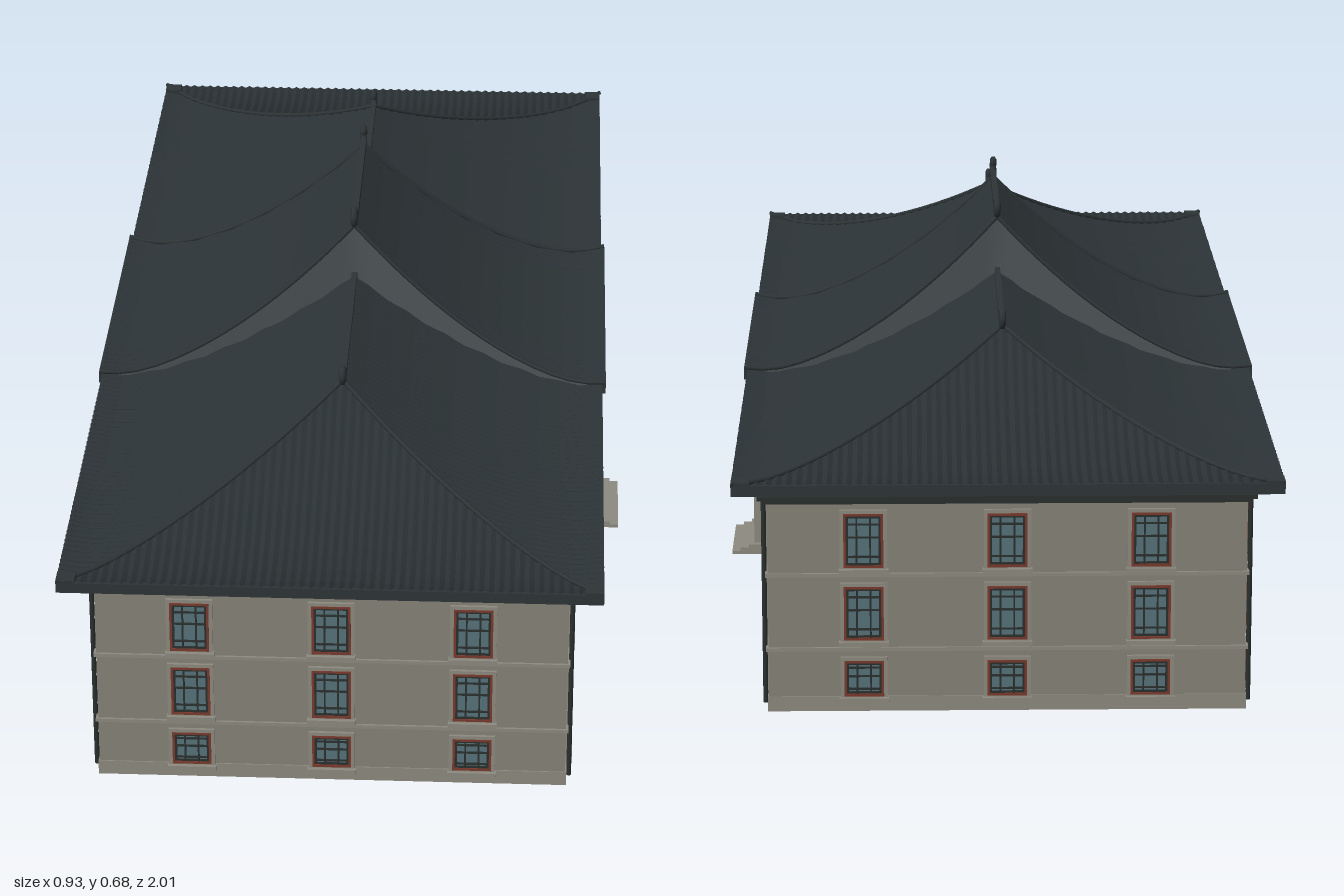
import * as THREE from 'three';
import { mergeGeometries } from 'three/addons/utils/BufferGeometryUtils.js';

const mat = (color, opts = {}) => new THREE.MeshStandardMaterial({ color, ...opts });
const STONE = mat(0x858277), TRIM = mat(0x8d8a80), DARK = mat(0x2a302f);
const RED = mat(0x7a3a2c), GLASS = mat(0x56737a), DOOR = mat(0x6b2c20);
const TILE = mat(0x2a3134, { flatShading: true, side: THREE.DoubleSide });
const GABLE = mat(0x4c5355, { side: THREE.DoubleSide });
const RIDGE = mat(0x2e3537);

// half sizes of walls, roof plan and ridges
const WX = 0.385, WZ = 0.945, EX = 0.44, EZ = 1, RZ = 0.57;
const CX = 0.445, CZ = 0.275, CR = 0.17;

// concave roof profiles, t = 0 at the ridge and 1 at the eave
const slope = (top, t) => 0.38 + (top - 0.38) * Math.pow(Math.max(0, 1 - t), 1.8) + 0.014 * Math.pow(t, 10);
const mainY = t => slope(0.545, t);
const centreY = t => slope(0.64, t) + 0.003;

function box(w, h, d, x, y, z) {
  return new THREE.BoxGeometry(w, h, d).translate(x, y, z);
}

function add(parent, name, geometry, material) {
  const m = new THREE.Mesh(geometry, material);
  m.name = name;
  parent.add(m);
  return m;
}

function gridGeometry(cols, rows, point) {
  const pos = [], idx = [];
  for (let i = 0; i <= cols; i++)
    for (let j = 0; j <= rows; j++) pos.push(...point(i, j));
  for (let i = 0; i < cols; i++)
    for (let j = 0; j < rows; j++) {
      const a = i * (rows + 1) + j, b = a + rows + 1;
      idx.push(a, b, a + 1, b, b + 1, a + 1);
    }
  const g = new THREE.BufferGeometry();
  g.setAttribute('position', new THREE.Float32BufferAttribute(pos, 3));
  g.setIndex(idx);
  g.computeVertexNormals();
  return g;
}

// tiled slope facing +x: ribs run downhill, clipped along the two hips
function tiledSlope(ridgeHalf, eaveHalf, start, run, height) {
  const cols = 2 * Math.round(eaveHalf / 0.008), rows = 12;
  return gridGeometry(cols, rows, (i, j) => {
    const s = (i / cols * 2 - 1) * eaveHalf;
    const t0 = Math.min(1, Math.max(0, (Math.abs(s) - ridgeHalf) / (eaveHalf - ridgeHalf)));
    const t = Math.min(1, t0 + (1 - t0) * j / rows);
    return [start + run * t, height(t) + (i % 2 ? 0.004 : 0), s];
  });
}

function tube(points, r) {
  const curve = new THREE.CatmullRomCurve3(points.map(p => new THREE.Vector3(...p)));
  return new THREE.TubeGeometry(curve, 16, r, 6);
}

const hipLine = (sx, sz, run, z0, z1, height) => Array.from({ length: 11 }, (_, k) => {
  const t = k / 10;
  return [sx * run * t, height(t) + 0.004, sz * (z0 + (z1 - z0) * t)];
});

// ridge bar with an upturned curl at both ends
function ridge(parent, name, half, y, size) {
  const parts = [box(0.01, 0.016, half * 2, 0, y, 0)];
  const curl = [[0, 0], [0.55, 0.1], [0.8, 0.6], [0.55, 1.05], [0.15, 1], [0.2, 0.7]];
  for (const s of [-1, 1])
    parts.push(tube(curl.map(([a, b]) => [0, y + b * size, s * (half - 0.005 + a * size)]), 0.006));
  add(parent, name, mergeGeometries(parts), RIDGE);
}

function buildRoof() {
  const roof = new THREE.Group();
  roof.name = 'roof';
  const mainSlope = tiledSlope(RZ, EZ, 0, EX, mainY);
  const endSlope = tiledSlope(0, EX, RZ, EZ - RZ, mainY);
  const centreSlope = tiledSlope(CR, CZ, 0, CX, centreY);
  for (const s of [0, 1]) {
    add(roof, 'mainSlope', mainSlope, TILE).rotation.y = s * Math.PI;
    add(roof, 'endSlope', endSlope, TILE).rotation.y = Math.PI / 2 + s * Math.PI;
    add(roof, 'centreSlope', centreSlope, TILE).rotation.y = s * Math.PI;
  }
  // side walls between the raised centre and the lower roof
  for (const sz of [-1, 1]) {
    add(roof, 'centreGable', gridGeometry(32, 1, (i, j) => {
      const u = i / 16 - 1, t = Math.abs(u);
      const low = Math.min(mainY(Math.min(1, t * CX / EX)), centreY(t)) - 0.003;
      return [CX * u, j ? centreY(t) : low, sz * (CR + (CZ - CR) * t)];
    }), GABLE);
  }
  const hips = [];
  for (const sx of [-1, 1]) for (const sz of [-1, 1]) {
    hips.push(tube(hipLine(sx, sz, EX, RZ, EZ, mainY), 0.004));
    hips.push(tube(hipLine(sx, sz, CX, CR, CZ, centreY), 0.004));
  }
  add(roof, 'hipRidges', mergeGeometries(hips), RIDGE);
  ridge(roof, 'mainRidge', RZ, 0.547, 0.024);
  ridge(roof, 'centreRidge', CR, 0.65, 0.026);

  // eave boards and soffit
  const eaves = [box(0.86, 0.004, 1.98, 0, 0.378, 0)];
  for (const s of [-1, 1]) {
    eaves.push(box(0.006, 0.018, 2, s * (EX - 0.003), 0.386, 0));
    eaves.push(box(2 * EX, 0.018, 0.006, 0, 0.386, s * (EZ - 0.003)));
    eaves.push(box(0.006, 0.02, 2 * CZ, s * (CX - 0.002), 0.389, 0));
    for (const z of [-1, 1]) eaves.push(box(0.03, 0.022, 0.03, s * (EX - 0.015), 0.388, z * (EZ - 0.015)));
  }
  add(roof, 'eaves', mergeGeometries(eaves), RIDGE);
  return roof;
}

// window geometry facing +z, centred on its opening
function windowParts(h) {
  const w = 0.064, b = 0.004;
  const border = (W, H, t, d) => mergeGeometries([-1, 1].flatMap(s => [
    box(t, H, d, s * (W - t) / 2, 0, d / 2),
    box(W - 2 * t, t, d, 0, s * (H - t) / 2, d / 2)]));
  const bars = [-1, 1].flatMap(s => [
    box(0.003, h - 2 * b, 0.003, s * 0.011, 0, 0.003),
    box(w - 2 * b, 0.003, 0.003, 0, s * h * 0.3, 0.003)]);
  bars.push(box(w - 2 * b, 0.003, 0.003, 0, h * 0.06, 0.003), border(w - 2 * b, h - 2 * b, 0.0035, 0.004));
  return [
    ['surrounds', mergeGeometries([border(w + 0.012, h + 0.012, 0.006, 0.005),
      box(w + 0.016, 0.008, 0.011, 0, -h / 2 - 0.006, 0.0055)]), TRIM],
    ['frames', border(w, h, b, 0.006), RED],
    ['glazingBars', mergeGeometries(bars), DARK],
    ['glass', new THREE.PlaneGeometry(w - b, h - b).translate(0, 0, 0.002), GLASS]];
}

// one row of windows around the building, merged by material
function windowRow(name, y, h, hasDoor) {
  const row = new THREE.Group();
  row.name = name;
  const spots = [];
  for (const s of [-1, 1]) {
    for (let i = 0; i < 14; i++) {
      if (hasDoor && s === 1 && (i === 6 || i === 7)) continue;
      spots.push([s * WX, (i - 6.5) * 0.131, s * Math.PI / 2]);
    }
    for (let i = -1; i <= 1; i++) spots.push([i * 0.231, s * WZ, s > 0 ? 0 : Math.PI]);
  }
  for (const [part, geometry, material] of windowParts(h))
    add(row, part, mergeGeometries(spots.map(([x, z, angle]) =>
      geometry.clone().rotateY(angle).translate(x, y, z))), material);
  return row;
}

function buildEntrance() {
  const e = new THREE.Group();
  e.name = 'entrance';
  const x = WX, pair = make => mergeGeometries([-1, 1].flatMap(make));
  add(e, 'doorLeaves', pair(s => box(0.008, 0.112, 0.053, x + 0.018, 0.072, s * 0.028)), DOOR);
  add(e, 'doorPanels', pair(s => [0.045, 0.098].map(y => box(0.003, 0.04, 0.034, x + 0.023, y, s * 0.028))), RED);
  add(e, 'doorFrame', mergeGeometries([
    box(0.006, 0.125, 0.13, x + 0.013, 0.066, 0),
    box(0.004, 0.112, 0.003, x + 0.022, 0.072, 0)]), DARK);
  add(e, 'posts', pair(s => box(0.02, 0.13, 0.012, x + 0.045, 0.065, s * 0.066)), TRIM);
  add(e, 'canopy', mergeGeometries([
    box(0.06, 0.012, 0.155, x + 0.03, 0.134, 0),
    box(0.055, 0.012, 0.165, x + 0.027, 0.146, 0)]), TRIM);
  add(e, 'steps', mergeGeometries([0.095, 0.08, 0.065].map((d, k) =>
    box(d, 0.006, 0.165, x + d / 2, 0.003 + k * 0.006, 0))), TRIM);
  add(e, 'sidePanels', pair(s => box(0.012, 0.056, 0.014, x + 0.022, 0.058, s * 0.084)), DARK);
  return e;
}

export function createModel() {
  const model = new THREE.Group();
  model.name = 'building';
  add(model, 'walls', box(2 * WX, 0.36, 2 * WZ, 0, 0.18, 0), STONE);
  const band = (h, y, out) => box(2 * (WX + out), h, 2 * (WZ + out), 0, y, 0);
  add(model, 'plinth', band(0.025, 0.0125, 0.002), TRIM);
  add(model, 'beltCourses', mergeGeometries([band(0.006, 0.105, 0.004), band(0.006, 0.23, 0.004)]), TRIM);
  add(model, 'cornice', mergeGeometries([band(0.006, 0.353, 0.007), band(0.007, 0.361, 0.015)]), DARK);

  // downpipes at the four corners of the long walls
  const pipes = [];
  for (const sx of [-1, 1]) for (const sz of [-1, 1])
    pipes.push(new THREE.CylinderGeometry(0.004, 0.004, 0.345, 8).translate(sx * (WX + 0.006), 0.183, sz * (WZ - 0.015)));
  add(model, 'downpipes', mergeGeometries(pipes), DARK);

  model.add(
    windowRow('groundFloorWindows', 0.056, 0.06, true),
    windowRow('middleFloorWindows', 0.166, 0.09, false),
    windowRow('topFloorWindows', 0.288, 0.09, false),
    buildEntrance(), buildRoof());
  for (const part of model.children) part.position.x -= 0.02;
  return model;
}
